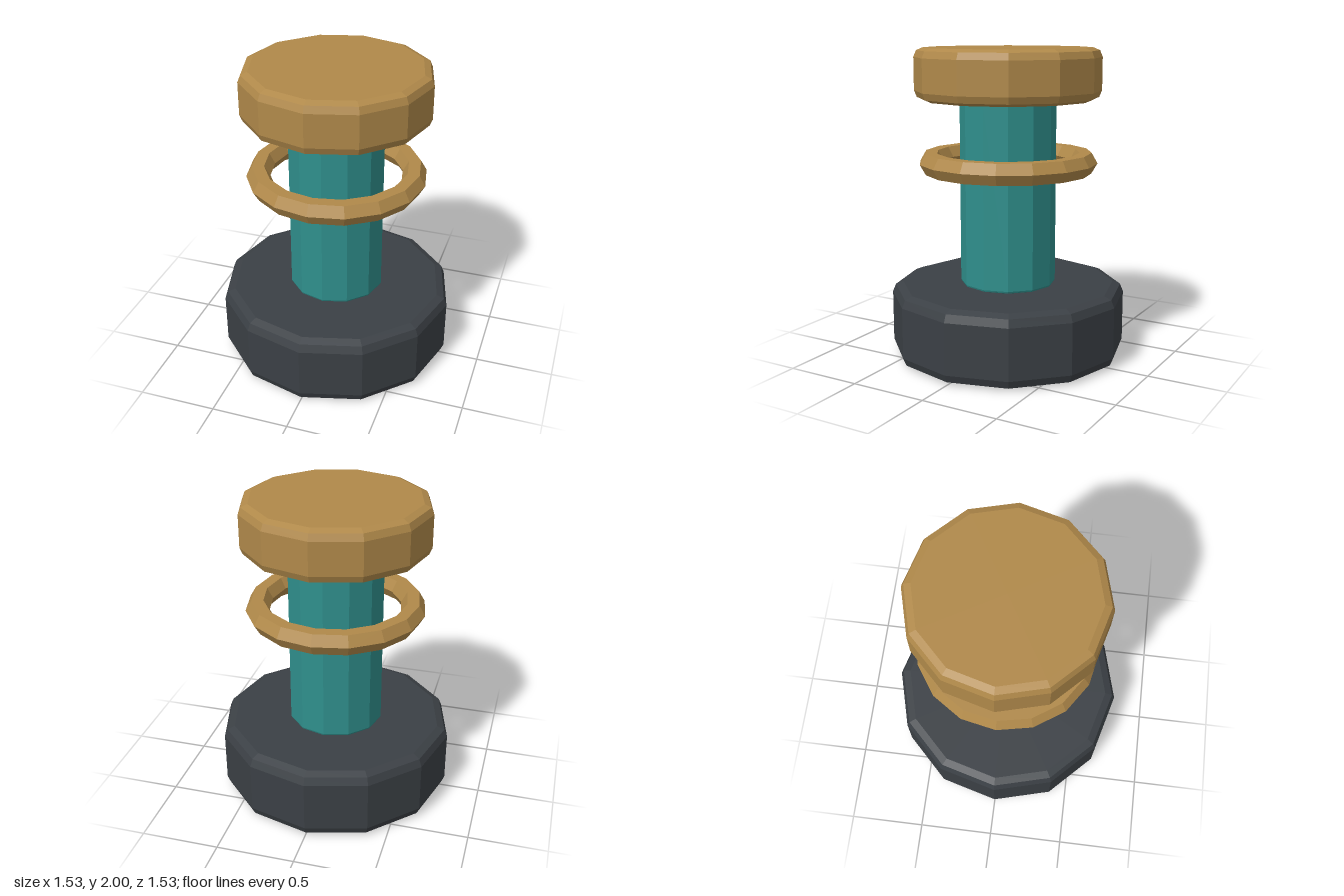
import * as THREE from 'three';

const SIDES = 12;
const paint = (color) => new THREE.MeshStandardMaterial({ color, flatShading: true });

// Faceted disc or post with a two-step rounded bevel on both rims
function bevelledDrum(name, radius, y0, y1, bevel, material) {
  const k = bevel * (1 - Math.SQRT1_2);
  const profile = [
    [0, y0], [radius - bevel, y0], [radius - k, y0 + k], [radius, y0 + bevel],
    [radius, y1 - bevel], [radius - k, y1 - k], [radius - bevel, y1], [0, y1],
  ].map(([r, y]) => new THREE.Vector2(r, y));
  const mesh = new THREE.Mesh(new THREE.LatheGeometry(profile, SIDES), material);
  mesh.name = name;
  return mesh;
}

export function createModel() {
  const model = new THREE.Group();
  model.name = 'pedestal';
  const brass = paint(0xb0894a);
  const teal = paint(0x2f8f8c);
  const slate = paint(0x3b4045);

  // Stacked base, column and cap
  model.add(
    bevelledDrum('base', 0.765, 0, 0.47, 0.07, slate),
    bevelledDrum('column', 0.31, 0.47, 1.67, 0.015, teal),
    bevelledDrum('cap', 0.6, 1.67, 2, 0.06, brass),
  );

  // Floating ring with a hexagonal section
  const ring = new THREE.Mesh(new THREE.TorusGeometry(0.5, 0.077, 6, 16), brass);
  ring.name = 'ring';
  ring.rotation.x = Math.PI / 2;
  ring.position.y = 1.27;
  model.add(ring);

  return model;
}
